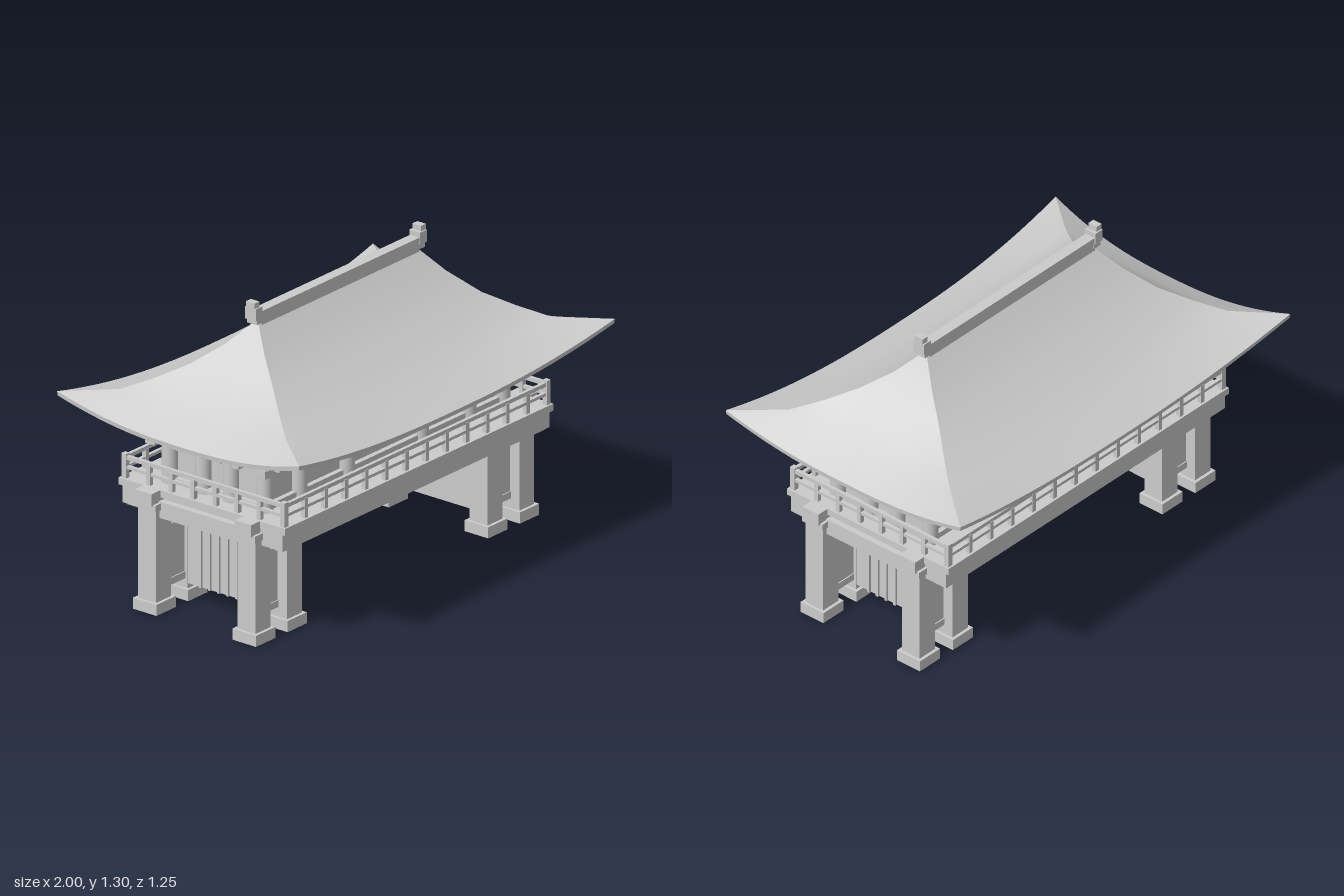
import * as THREE from 'three';

const grey = new THREE.MeshStandardMaterial({ color: 0xcccccc });
const greyDouble = new THREE.MeshStandardMaterial({ color: 0xcccccc, side: THREE.DoubleSide });

export function createModel() {
  const model = new THREE.Group();
  model.name = 'gatehouse';

  function group(name) {
    const g = new THREE.Group();
    g.name = name;
    model.add(g);
    return g;
  }
  // Box given by its limits on each axis
  function box(parent, name, x0, x1, y0, y1, z0, z1) {
    const m = new THREE.Mesh(new THREE.BoxGeometry(x1 - x0, y1 - y0, z1 - z0), grey);
    m.name = name;
    m.position.set((x0 + x1) / 2, (y0 + y1) / 2, (z0 + z1) / 2);
    parent.add(m);
    return m;
  }
  // Box given by its centre in plan, its size in plan and its height limits
  const block = (parent, name, x, z, w, d, y0, y1) =>
    box(parent, name, x - w / 2, x + w / 2, y0, y1, z - d / 2, z + d / 2);

  // Legs with plinths, and the walls that join them
  const legs = group('legs');
  for (const sx of [-1, 1]) {
    for (const sz of [-1, 1]) {
      for (const x of [0.635, 0.835]) {
        block(legs, 'leg', sx * x, sz * 0.257, 0.094, 0.094, 0.04, 0.46);
        block(legs, 'plinth', sx * x, sz * 0.257, 0.122, 0.122, 0, 0.048);
      }
      block(legs, 'sidePanel', sx * 0.735, sz * 0.24, 0.12, 0.03, 0.12, 0.45);
      block(legs, 'lowerRail', sx * 0.735, sz * 0.24, 0.12, 0.04, 0.09, 0.12);
      block(legs, 'upperRail', sx * 0.735, sz * 0.24, 0.12, 0.04, 0.34, 0.355);
      // Projecting beam ends above the legs
      block(legs, 'beamEnd', sx * 0.82, sz * 0.257, 0.17, 0.086, 0.47, 0.525);
      block(legs, 'beamEndBlock', sx * 0.835, sz * 0.257, 0.12, 0.11, 0.445, 0.475);
    }
    block(legs, 'endWall', sx * 0.66, 0, 0.04, 0.44, 0.07, 0.4);
    for (let i = -3; i <= 3; i++)
      block(legs, 'slat', sx * 0.683, i * 0.0465, 0.014, 0.012, 0.07, 0.4);
  }

  // Deck with the beams below it
  const deck = group('deck');
  box(deck, 'floor', -0.85, 0.85, 0.495, 0.525, -0.43, 0.43);
  box(deck, 'ceiling', -0.83, 0.83, 0.465, 0.5, -0.26, 0.26);
  for (const s of [-1, 1]) {
    block(deck, 'edgeBeam', 0, s * 0.335, 1.69, 0.155, 0.42, 0.5);
    block(deck, 'edgeBeamFoot', 0, s * 0.38, 1.66, 0.04, 0.41, 0.43);
    block(deck, 'innerBeam', 0, s * 0.235, 1.2, 0.06, 0.4, 0.48);
    for (const x of [0.635, 0.835])
      block(deck, 'crossBeam', s * x, 0, 0.05, 0.44, 0.41, 0.48);
  }

  // Balustrade
  const railing = group('railing');
  for (const s of [-1, 1]) {
    for (const [y0, y1] of [[0.565, 0.578], [0.605, 0.622]]) {
      block(railing, 'longRail', 0, s * 0.41, 1.68, 0.016, y0, y1);
      block(railing, 'endRail', s * 0.83, 0, 0.016, 0.82, y0, y1);
    }
    for (let i = 0; i < 14; i++)
      block(railing, 'railPost', -0.83 + (i * 1.66) / 13, s * 0.41, 0.02, 0.02, 0.52, 0.61);
    for (const z of [-0.285, -0.17, -0.057, 0.057, 0.17, 0.285])
      block(railing, 'railPost', s * 0.83, z, 0.02, 0.02, 0.52, 0.61);
    for (const t of [-1, 1])
      block(railing, 'cornerPost', s * 0.83, t * 0.41, 0.024, 0.024, 0.52, 0.63);
  }

  // Upper room
  const room = group('room');
  box(room, 'walls', -0.74, 0.74, 0.52, 0.81, -0.235, 0.235);
  for (const sx of [-1, 1]) {
    for (const sz of [-1, 1]) {
      for (const [x, z] of [[0.75, 0.245], [0.535, 0.245], [0.235, 0.245], [0.75, 0.072]]) {
        const c = new THREE.Mesh(new THREE.CylinderGeometry(0.034, 0.034, 0.24, 16), grey);
        c.name = 'column';
        c.position.set(sx * x, 0.64, sz * z);
        room.add(c);
      }
    }
    block(room, 'longSill', 0, sx * 0.24, 1.5, 0.035, 0.52, 0.55);
    block(room, 'endSill', sx * 0.745, 0, 0.035, 0.48, 0.52, 0.55);
  }

  // Bracket blocks and plates that carry the eaves
  const brackets = group('brackets');
  box(brackets, 'lowerPlate', -0.83, 0.83, 0.735, 0.756, -0.315, 0.315);
  box(brackets, 'upperPlate', -0.86, 0.86, 0.756, 0.785, -0.352, 0.352);
  box(brackets, 'roofBearer', -0.79, 0.79, 0.785, 0.83, -0.28, 0.28);
  for (const s of [-1, 1]) {
    for (let i = -7; i <= 7; i++)
      block(brackets, 'bracket', i * 0.103, s * 0.285, 0.036, 0.05, 0.7, 0.745);
    for (const z of [-0.145, -0.048, 0.048, 0.145])
      block(brackets, 'bracket', s * 0.79, z, 0.05, 0.034, 0.7, 0.745);
    for (const t of [-1, 1])
      block(brackets, 'cornerBracket', s * 0.8, t * 0.285, 0.06, 0.05, 0.7, 0.745);
  }

  // Hipped roof: rows of [half length, half depth, height, corner lift, corner flare]
  const roof = group('roof');
  const topRows = [
    [0.5, 0.004, 1.205, 0, 0], [0.575, 0.1, 1.103, 0, 0], [0.66, 0.215, 1.013, 0, 0],
    [0.75, 0.32, 0.946, 0.008, 0], [0.84, 0.43, 0.878, 0.026, 0], [0.975, 0.6, 0.805, 0.09, 0.025],
  ];
  const underRows = [
    [0.975, 0.6, 0.805, 0.09, 0.025], [0.973, 0.598, 0.786, 0.09, 0.025],
    [0.87, 0.45, 0.79, 0.045, 0.01], [0.76, 0.27, 0.8, 0, 0],
  ];
  // One of the four slopes; turn = quarter turns from the front
  function slope(name, rows, turn) {
    const n = 40, pos = [], idx = [];
    for (const [a, b, y, lift, flare] of rows) {
      for (let j = 0; j <= n; j++) {
        const t = (j / n) * 2 - 1;
        const f = Math.abs(t) ** 2.5;
        const half = turn % 2 ? b : a, out = turn % 2 ? a : b;
        const u = t * (half + flare * f), v = out + flare * f, h = y + lift * f;
        pos.push(...[[u, h, v], [v, h, -u], [-u, h, -v], [-v, h, u]][turn]);
      }
    }
    for (let r = 0; r < rows.length - 1; r++) {
      for (let j = 0; j < n; j++) {
        const p = r * (n + 1) + j, q = p + n + 1;
        idx.push(p, q, p + 1, q, q + 1, p + 1);
      }
    }
    const g = new THREE.BufferGeometry();
    g.setAttribute('position', new THREE.Float32BufferAttribute(pos, 3));
    g.setIndex(idx);
    g.computeVertexNormals();
    const m = new THREE.Mesh(g, greyDouble);
    m.name = name;
    roof.add(m);
  }
  for (let turn = 0; turn < 4; turn++) {
    slope('roofSlope', topRows, turn);
    slope('eaveEdge', underRows.slice(0, 2), turn);
    slope('eaveUnderside', underRows.slice(1), turn);
  }

  // Ridge with an ornament at each end
  box(roof, 'ridge', -0.5, 0.5, 1.19, 1.25, -0.024, 0.024);
  for (const s of [-1, 1]) {
    block(roof, 'ridgeEnd', s * 0.512, 0, 0.04, 0.05, 1.2, 1.225);
    block(roof, 'ridgeOrnament', s * 0.52, 0, 0.044, 0.056, 1.22, 1.272);
    block(roof, 'ridgeOrnamentTip', s * 0.527, 0, 0.03, 0.044, 1.27, 1.296);
  }
  return model;
}
